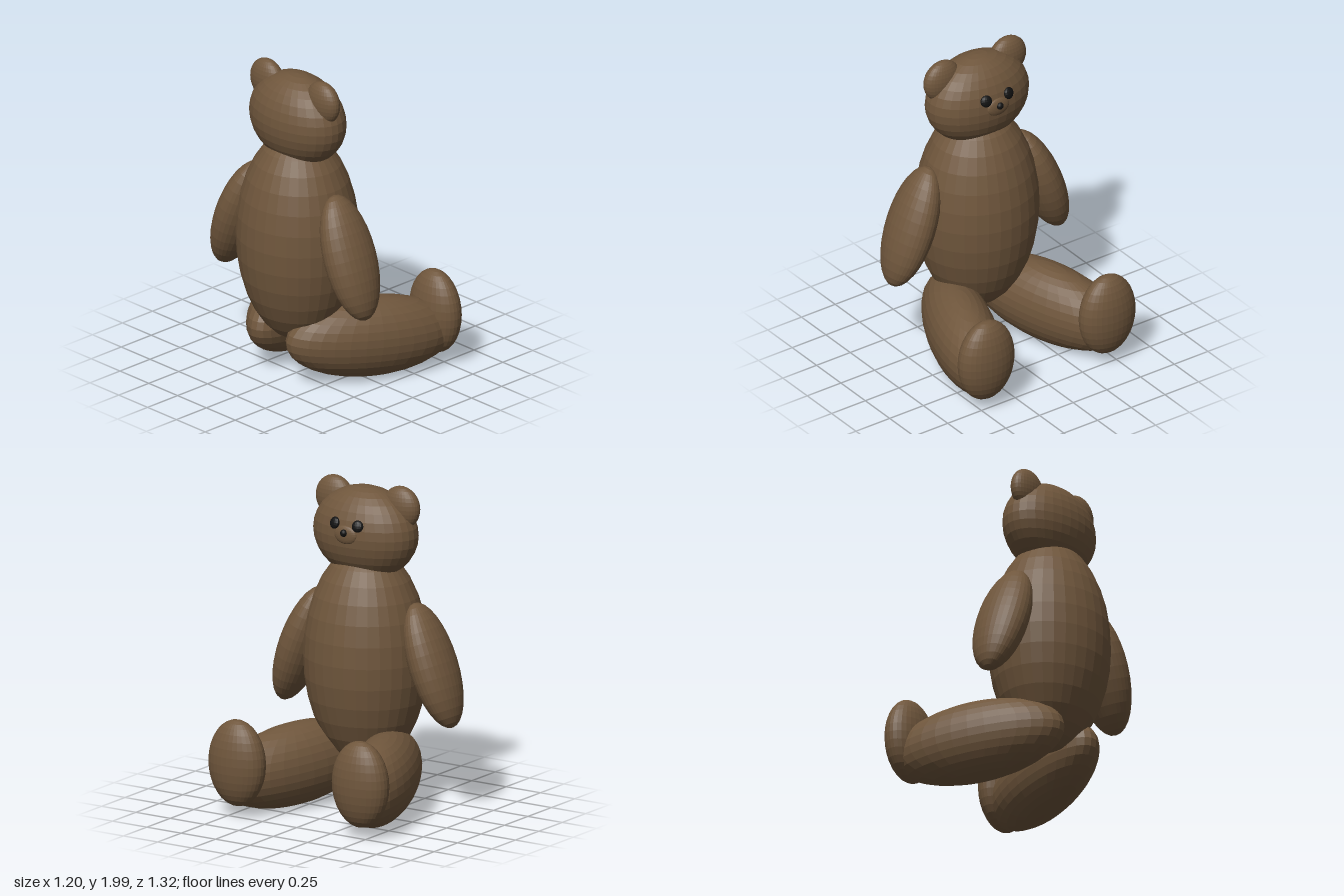
import * as THREE from 'three';

const fur = new THREE.MeshStandardMaterial({ color: 0x6f563c, flatShading: true });
const black = new THREE.MeshStandardMaterial({ color: 0x111111, flatShading: true });
const rad = THREE.MathUtils.degToRad;

// Faceted ellipsoid: centre, radii, rotation in degrees
function ellipsoid(name, pos, radii, rot = [0, 0, 0], material = fur, segments = 32) {
  const geometry = new THREE.SphereGeometry(1, segments, segments / 2);
  geometry.scale(...radii);
  const mesh = new THREE.Mesh(geometry, material);
  mesh.name = name;
  mesh.position.set(...pos);
  mesh.rotation.set(...rot.map(rad));
  return mesh;
}

export function createModel() {
  const bear = new THREE.Group();
  bear.name = 'teddyBear';

  // Torso
  bear.add(ellipsoid('body', [-0.24, 0.92, 0], [0.36, 0.68, 0.388]));

  // Head with a low muzzle and a button nose
  const head = new THREE.Group();
  head.name = 'head';
  head.add(
    ellipsoid('skull', [-0.238, 1.69, 0], [0.227, 0.285, 0.352]),
    ellipsoid('muzzle', [-0.02, 1.713, 0], [0.022, 0.058, 0.08]),
    ellipsoid('nose', [0, 1.727, 0], [0.02, 0.023, 0.023], [0, 0, 0], black, 16),
  );
  bear.add(head);

  // Paired parts: the bear looks along +x, so its left side is -z
  for (const s of [-1, 1]) {
    const side = s < 0 ? 'left' : 'right';
    head.add(
      ellipsoid(side + 'Ear', [-0.26, 1.867, s * 0.242], [0.07, 0.133, 0.13]),
      ellipsoid(side + 'Eye', [-0.027, 1.775, s * 0.083], [0.02, 0.037, 0.037],
        [0, -s * 14, 18], black, 16),
    );
    bear.add(
      ellipsoid(side + 'Arm', [-0.26, 0.92, s * 0.475], [0.18, 0.393, 0.129], [-s * 20.9, 0, 0]),
      ellipsoid(side + 'Leg', [0.055, 0.262, s * 0.32], [0.548, 0.253, 0.205], [0, -s * 20.2, -4.6]),
      ellipsoid(side + 'Foot', [0.477, 0.338, s * 0.449], [0.118, 0.268, 0.194]),
    );
  }
  return bear;
}
